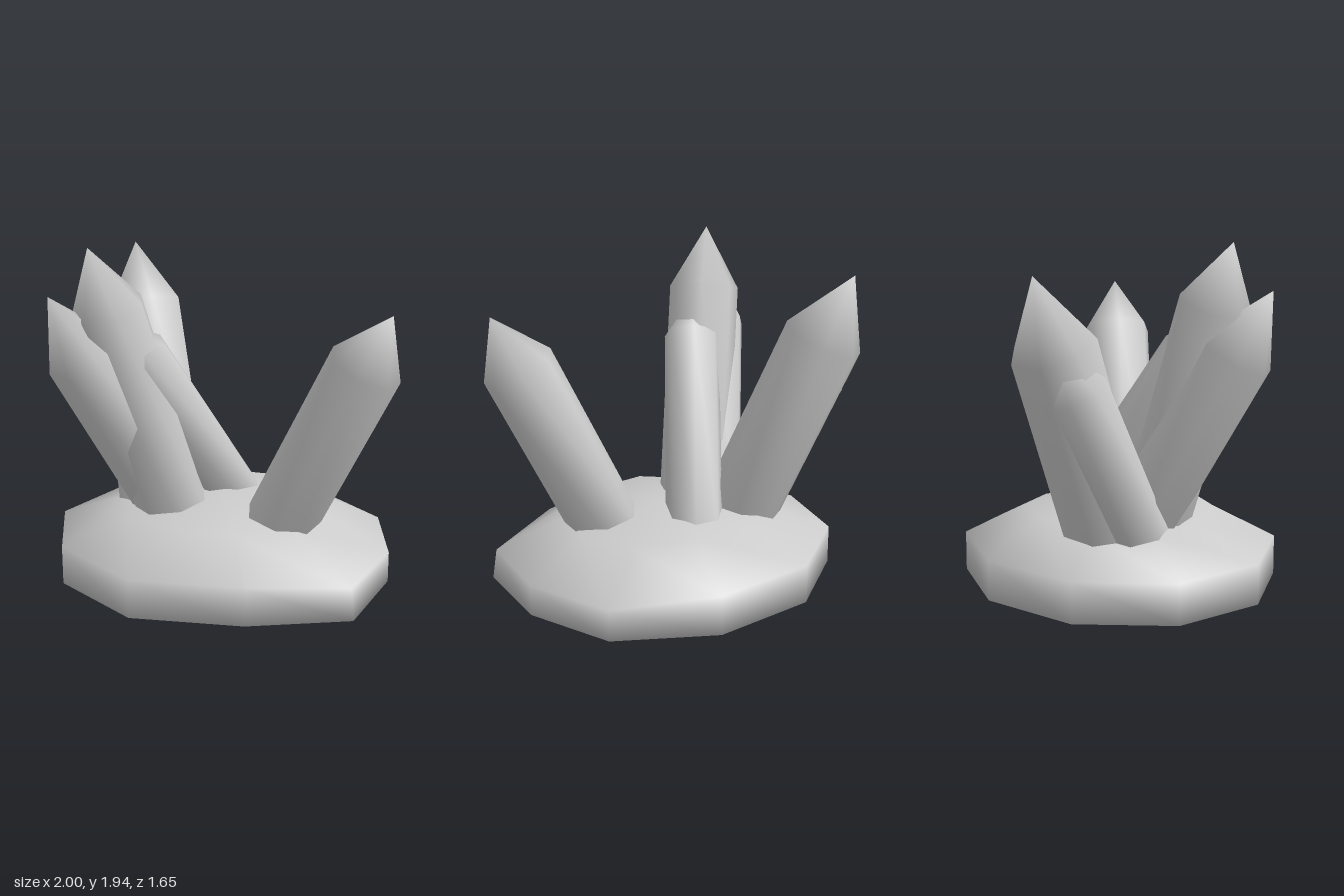
import * as THREE from 'three';
import { mergeVertices } from 'three/addons/utils/BufferGeometryUtils.js';

// Lathe a profile with few sides, weld it and give it smooth normals
function smoothLathe(profile, sides, start, reshape) {
  const points = profile.map(([r, y]) => new THREE.Vector2(r, y));
  let geo = new THREE.LatheGeometry(points, sides, start);
  geo.deleteAttribute('uv');
  geo.deleteAttribute('normal');
  const p = geo.attributes.position;
  const v = new THREE.Vector3();
  if (reshape) {
    for (let i = 0; i < p.count; i++) {
      reshape(v.fromBufferAttribute(p, i));
      p.setXYZ(i, v.x, v.y, v.z);
    }
  }
  geo = mergeVertices(geo, 1e-4);
  geo.computeVertexNormals();
  return geo;
}

export function createModel() {
  const group = new THREE.Group();
  const stone = new THREE.MeshStandardMaterial({ color: 0xcccccc });
  stone.name = 'pale grey stone';

  // Rock: squat ten-sided dome, slightly uneven
  const rockProfile = [[0, 0], [0.6, 0.01], [1, 0.045], [1, 0.265], [0.6, 0.44], [0, 0.5]];
  const rock = new THREE.Mesh(smoothLathe(rockProfile, 10, Math.PI / 2, (v) => {
    const upper = v.y > 0.2 && v.y < 0.3;
    const cornerFront = v.x > 0.2 && v.z > 0.2;
    if (Math.abs(v.x) > 0.45 && v.y > 0.4) v.y -= 0.03;
    if (upper && v.x > 0.7) v.y -= 0.045;
    v.z *= 0.87;
    if (v.x > 0.9) v.x *= 0.95;
    if (cornerFront && Math.abs(v.x) > 0.7) {
      v.x *= upper ? 1.03 : 1.05;
      v.z *= upper ? 1.03 : 1.07;
    } else if (cornerFront && v.z > 0.7) v.z *= 0.92;
  }), stone);
  rock.name = 'rock';
  group.add(rock);

  // Crystals: seven-sided prisms with a pointed end
  const up = new THREE.Vector3(0, 1, 0);
  function crystal(name, foot, shoulder, radius, tipLength, turn) {
    const a = new THREE.Vector3(...foot);
    const dir = new THREE.Vector3(...shoulder).sub(a);
    const length = dir.length();
    dir.normalize();
    a.addScaledVector(dir, -0.18);
    const h = length + 0.18;
    const geo = smoothLathe([[0, 0], [radius, 0], [radius, h], [0, h + tipLength]], 7, -turn);
    const mesh = new THREE.Mesh(geo, stone);
    mesh.name = name;
    mesh.position.copy(a);
    mesh.quaternion.setFromUnitVectors(up, dir);
    group.add(mesh);
  }
  crystal('leftCrystal', [0.37, 0.43, 0.14], [0.82, 1.35, 0.245], 0.205, 0.325, 0);
  crystal('backCrystal', [-0.4, 0.45, -0.22], [-0.66, 1.43, -0.555], 0.228, 0.395, 0.35);
  crystal('tallCrystal', [-0.28, 0.4, 0.1], [-0.56, 1.6, 0.345], 0.208, 0.355, 0.33);
  crystal('frontCrystal', [-0.31, 0.4, 0.01], [-0.68, 1.36, 0.42], 0.208, 0.39, 0.14);
  crystal('leaningCrystal', [-0.04, 0.47, -0.19], [-0.41, 1.34, 0.27], 0.165, 0.25, 0.2);
  crystal('backSideCrystal', [-0.49, 0.4, -0.07], [-0.72, 1.22, -0.47], 0.175, 0.26, 0.2);

  return group;
}
